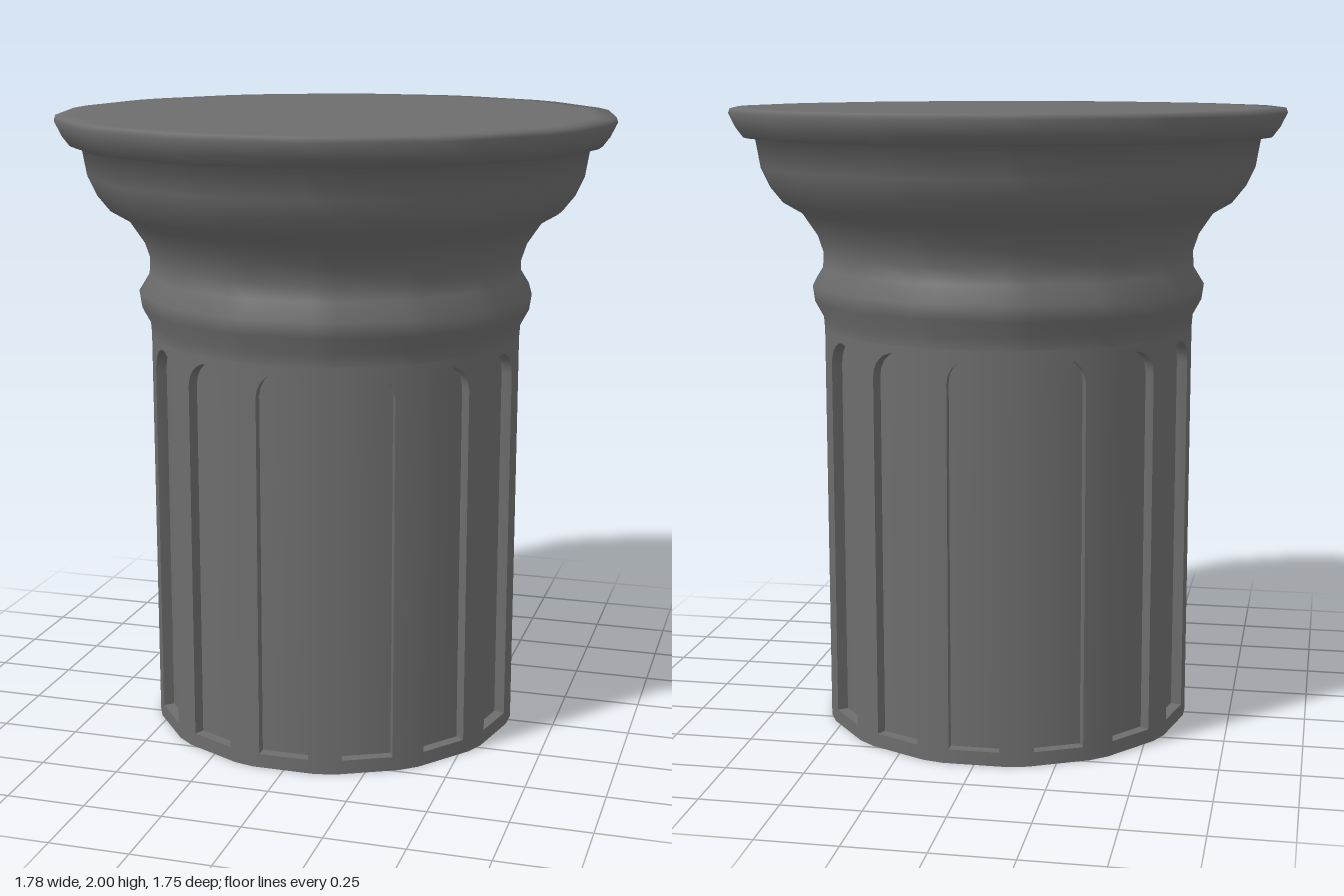
import * as THREE from 'three';
import { toCreasedNormals } from 'three/addons/utils/BufferGeometryUtils.js';

const BAYS = 14;                       // flutes around the shaft
const STEP = (Math.PI * 2) / BAYS;
const HALF = THREE.MathUtils.degToRad(9.7); // half the angle of one flat panel
const R = 0.6;                         // shaft radius at the panel corners
const FACE = R * Math.cos(HALF);       // distance of a panel from the axis
const NECK = 1.3;                      // top of the shaft
const DEPTH = 0.035;                   // flute depth

const material = new THREE.MeshStandardMaterial({ color: 0x6d6d6d, side: THREE.DoubleSide });

function mesh(name, geometry) {
  const m = new THREE.Mesh(geometry, material);
  m.name = name;
  return m;
}

// Round-topped flute outline, counter-clockwise
function fluteOutline(Type) {
  const w = 0.08, bottom = 0.045, top = 1.275;
  const s = new Type();
  s.moveTo(-w, bottom);
  s.lineTo(w, bottom);
  s.lineTo(w, top - w);
  s.absarc(0, top - w, w, 0, Math.PI, false);
  s.closePath();
  return s;
}

// Flat shape set at distance z, shaded as part of a round shaft
function roundShaded(shape, z) {
  const g = new THREE.ShapeGeometry(shape, 5).translate(0, 0, z);
  const p = g.attributes.position, n = g.attributes.normal;
  for (let i = 0; i < p.count; i++) {
    const l = Math.hypot(p.getX(i), z);
    n.setXYZ(i, p.getX(i) / l, 0, z / l);
  }
  return g;
}

// Side walls of a flute, facing into the recess
function fluteWalls() {
  const pts = fluteOutline(THREE.Shape).getPoints(5);
  const pos = [];
  const back = FACE - DEPTH;
  for (let i = 0; i < pts.length; i++) {
    const a = pts[i], b = pts[(i + 1) % pts.length];
    if (a.distanceTo(b) < 1e-5) continue;
    pos.push(a.x, a.y, FACE, b.x, b.y, FACE, b.x, b.y, back);
    pos.push(a.x, a.y, FACE, b.x, b.y, back, a.x, a.y, back);
  }
  const g = new THREE.BufferGeometry();
  g.setAttribute('position', new THREE.Float32BufferAttribute(pos, 3));
  return toCreasedNormals(g, 0.8);
}

// Turned capital, smooth all over: wide sides over the flutes, narrow between
function capitalGeometry() {
  const profile = [
    [0.6, NECK], [0.603, 1.34], [0.63, 1.39], [0.637, 1.44], [0.603, 1.495], [0.6, 1.545],
    [0.618, 1.6], [0.665, 1.67], [0.725, 1.705], [0.765, 1.755], [0.793, 1.815],
    [0.81, 1.915], [0.845, 1.91], [0.868, 1.94], [0.89, 1.985], [0.885, 2], [0.82, 2], [0, 2],
  ].map(([x, y]) => new THREE.Vector2(x, y));
  const g = new THREE.LatheGeometry(profile, BAYS * 2);
  const p = g.attributes.position;
  for (let i = 0; i < p.count; i++) {
    const column = Math.floor(i / profile.length);
    const r = profile[i % profile.length].x;
    const angle = Math.floor(column / 2) * STEP + (column % 2 ? HALF : -HALF);
    p.setX(i, r * Math.sin(angle));
    p.setZ(i, r * Math.cos(angle));
  }
  return toCreasedNormals(g, Math.PI);
}

export function createModel() {
  const model = new THREE.Group();
  model.name = 'column';

  // Fluted hollow shaft, open at the bottom
  const shaft = new THREE.Group();
  shaft.name = 'shaft';
  const x = R * Math.sin(HALF);
  const panelShape = new THREE.Shape([
    new THREE.Vector2(-x, 0), new THREE.Vector2(x, 0),
    new THREE.Vector2(x, NECK), new THREE.Vector2(-x, NECK),
  ]);
  panelShape.holes.push(fluteOutline(THREE.Path));
  const panel = roundShaded(panelShape, FACE);
  const floor = roundShaded(fluteOutline(THREE.Shape), FACE - DEPTH);
  const walls = fluteWalls();
  const rib = new THREE.LatheGeometry(
    [new THREE.Vector2(R, 0), new THREE.Vector2(R, NECK)], 1, HALF, STEP - 2 * HALF);

  for (let i = 0; i < BAYS; i++) {
    const bay = new THREE.Group();
    bay.name = 'shaftBay';
    bay.add(mesh('panel', panel), mesh('fluteFloor', floor), mesh('fluteWalls', walls), mesh('rib', rib));
    bay.rotation.y = i * STEP;
    shaft.add(bay);
  }
  model.add(shaft);

  // Capital with collar, bowl and lip
  model.add(mesh('capital', capitalGeometry()));
  return model;
}
